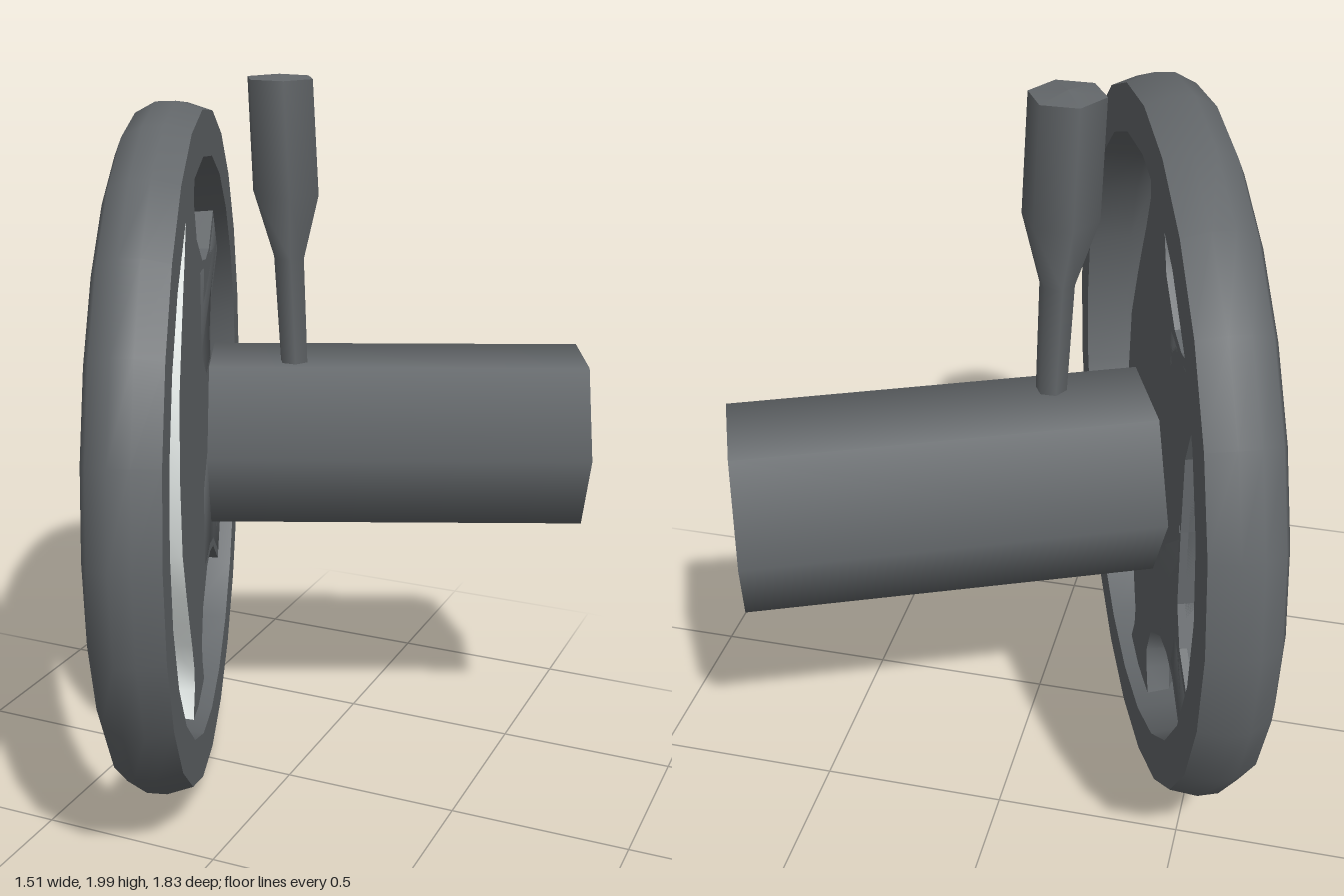
import * as THREE from 'three';
import { toCreasedNormals } from 'three/addons/utils/BufferGeometryUtils.js';

const dark = new THREE.MeshStandardMaterial({ color: 0x63676a, side: THREE.DoubleSide });
dark.name = 'dark grey plastic';
const light = new THREE.MeshStandardMaterial({ color: 0xe8eeec, side: THREE.DoubleSide });
light.name = 'pale trim';

function part(name, geometry, material, parent) {
  const mesh = new THREE.Mesh(geometry, material);
  mesh.name = name;
  parent.add(mesh);
  return mesh;
}

const lathe = (points, sides) =>
  new THREE.LatheGeometry(points.map(([r, y]) => new THREE.Vector2(r, y)), sides);

// Skin through rows of points, using the strips from column a to column b
function loft(rows, a, b) {
  const pos = [];
  for (let i = 0; i < rows.length - 1; i++) {
    for (let j = a; j < b; j++) {
      const p = rows[i][j], q = rows[i][j + 1], r = rows[i + 1][j], s = rows[i + 1][j + 1];
      pos.push(...p, ...q, ...r, ...q, ...s, ...r);
    }
  }
  const g = new THREE.BufferGeometry();
  g.setAttribute('position', new THREE.Float32BufferAttribute(pos, 3));
  return toCreasedNormals(g, 0.75);
}

export function createModel() {
  const model = new THREE.Group();
  model.name = 'steeringAssembly';

  // Wheel: local x across, y up, z towards the driver
  const wheel = new THREE.Group();
  wheel.name = 'steeringWheel';
  wheel.position.set(-0.35, 0.975, 0);
  wheel.rotation.y = -1.2165;
  model.add(wheel);

  // Rim: rounded grip with a flat back
  const grip = [[0.94, -0.09], [0.962, -0.02], [0.96, 0.035], [0.93, 0.09],
    [0.88, 0.11], [0.83, 0.09], [0.802, 0.03], [0.815, -0.09]];
  part('rimGrip', lathe(grip, 24).rotateX(Math.PI / 2), dark, wheel);
  part('rimBack', lathe([[0.815, -0.09], [0.94, -0.09]], 24).rotateX(Math.PI / 2), dark, wheel);

  // Hub pad: height up, left edge, right edge, bulge; mirrored below the middle
  const half = [[0, -0.44, 0.305, 0.14], [0.22, -0.44, 0.285, 0.138], [0.375, -0.36, 0.215, 0.12],
    [0.475, -0.28, 0.165, 0.1], [0.56, -0.155, 0.12, 0.08], [0.66, -0.11, 0.075, 0.06],
    [0.72, -0.12, 0.08, 0.05], [0.83, -0.165, 0.135, 0.035]];
  const stations = [...half.slice(1).reverse().map(([v, ...rest]) => [-v, ...rest]), ...half];
  const section = [[0, 0.3], [0.16, 0.85], [0.4, 1], [0.62, 1], [0.82, 0.76], [1, 0.3]];
  const back = -0.05;
  const rows = stations.map(([v, l, r, h]) => [
    [l, v, back],
    ...section.map(([t, k]) => [l + (r - l) * t, v, h * k]),
    [r, v, back],
    [l, v, back],
  ]);
  part('hubPad', loft(rows, 0, 5), dark, wheel);
  part('hubTrim', loft(rows, 5, 7), light, wheel);
  part('hubBack', loft(rows, 7, 8), dark, wheel);

  // Diagonal spokes
  const outline = [[-0.2, 0.2], [-0.2, 0.475], [-0.28, 0.475], [-0.366, 0.46], [-0.45, 0.475],
    [-0.61, 0.59], [-0.72, 0.45], [-0.515, 0.325], [-0.465, 0.22], [-0.46, 0]];
  for (const side of [1, -1]) {
    const shape = new THREE.Shape(outline.map(([u, v]) => new THREE.Vector2(u, v * side)));
    const g = new THREE.ExtrudeGeometry(shape, {
      depth: 0.08, bevelEnabled: true, bevelThickness: 0.02, bevelSize: 0.025,
      bevelOffset: -0.025, bevelSegments: 1,
    });
    g.translate(0, 0, back + 0.02);
    part(side > 0 ? 'upperSpoke' : 'lowerSpoke', toCreasedNormals(g, 0.9), dark, wheel);
    // Flat plate filling the spoke back out to its full outline
    const plate = new THREE.ExtrudeGeometry(shape, { depth: 0.06, bevelEnabled: false });
    part('spokePlate', plate.translate(0, 0, back), dark, wheel);
  }

  // Column: open six-sided tube
  const column = new THREE.CylinderGeometry(0.266, 0.266, 1.06, 6, 1, true).rotateZ(-Math.PI / 2);
  const tube = part('column', column, dark, model);
  tube.position.set(0.164, 0.972, -0.388);
  tube.rotation.y = 0.403;

  // Lever: slim stalk widening to a six-sided handle, leaning slightly
  const stalk = [[0.04, 1.15], [0.045, 1.5], [0.098, 1.68], [0.096, 1.99]];
  const lever = new THREE.Group();
  lever.name = 'lever';
  model.add(lever);
  const lean = (g) => {
    const p = g.rotateY(Math.PI / 2).attributes.position;
    for (let i = 0; i < p.count; i++) {
      const k = (2 - p.getY(i)) / 0.8;
      p.setXYZ(i, p.getX(i) - 0.11 + 0.03 * k, p.getY(i), p.getZ(i) - 0.183 - 0.03 * k);
    }
    return g;
  };
  part('leverStalk', lean(lathe(stalk, 6)), dark, lever);
  part('leverCap', lean(lathe([[0.096, 1.99], [0, 2]], 6)), dark, lever);

  return model;
}
